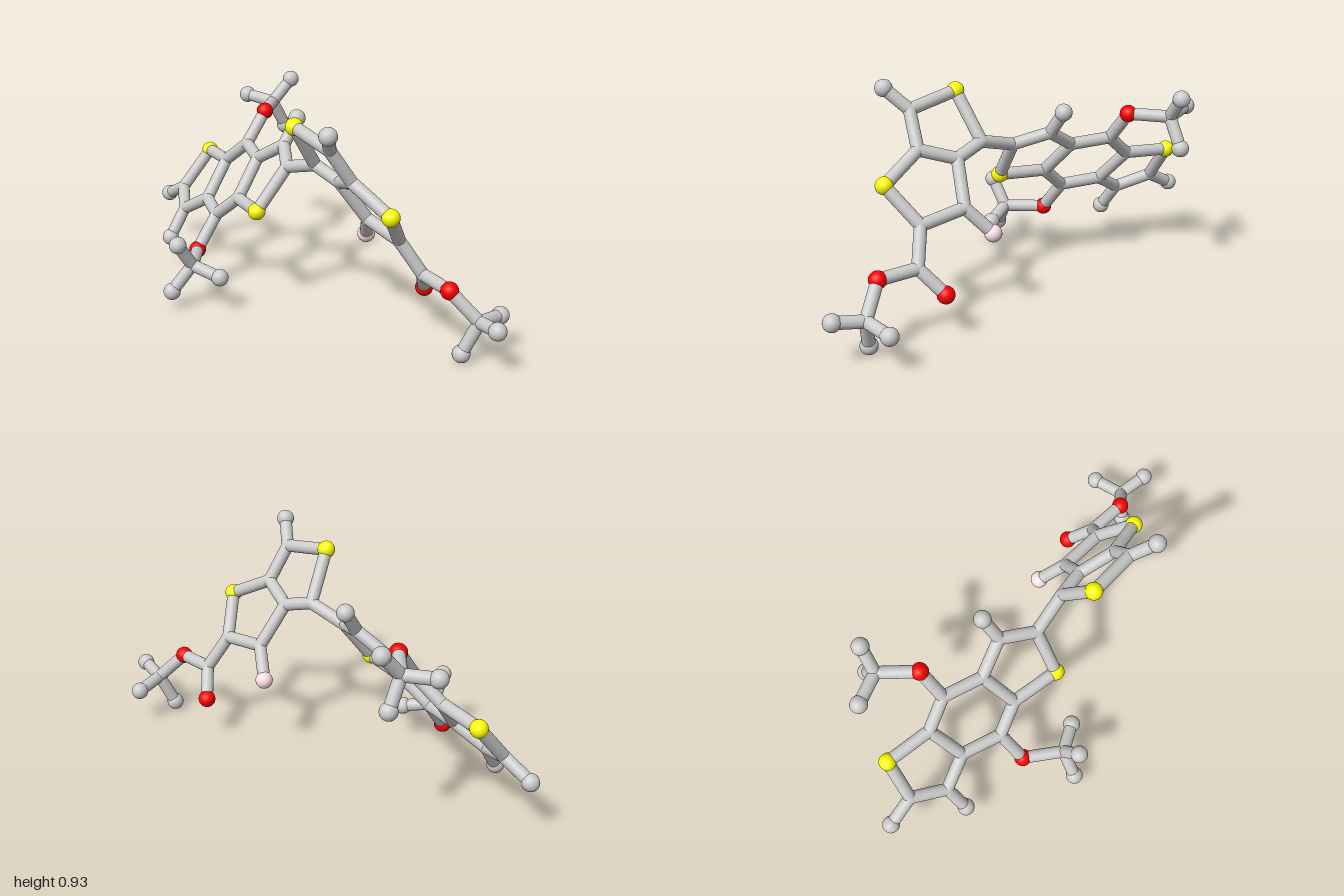
import * as THREE from 'three';

const BOND_R = 0.026;
const BALL_R = 0.036;

// name: [kind, x, y, z]; joint = bond-sized sphere, the others are full balls
const atoms = {
  // left fused ring system
  s1: ['sulfur', -0.80, 0.467, -0.145],
  a1: ['joint', -0.84, 0.305, -0.018],
  a2: ['joint', -0.715, 0.253, 0.07],
  a3: ['joint', -0.575, 0.335, 0.043],
  a4: ['joint', -0.605, 0.48, -0.09],
  a5: ['joint', -0.48, 0.58, -0.11],
  a6: ['joint', -0.32, 0.568, -0.04],
  a7: ['joint', -0.29, 0.424, 0.093],
  a8: ['joint', -0.415, 0.322, 0.115],
  s2: ['sulfur', -0.09, 0.435, 0.154],
  a9: ['joint', -0.05, 0.61, 0.025],
  a10: ['joint', -0.175, 0.655, -0.065],
  e1: ['end', -0.965, 0.239, -0.024],
  e2: ['end', -0.71, 0.137, 0.156],
  e3: ['end', -0.178, 0.757, -0.14],
  // upper side branch
  o1: ['oxygen', -0.48, 0.709, -0.213],
  b1: ['joint', -0.587, 0.705, -0.348],
  e4: ['end', -0.558, 0.803, -0.43],
  e5: ['end', -0.725, 0.718, -0.312],
  e6: ['end', -0.583, 0.584, -0.415],
  // lower side branch
  o2: ['oxygen', -0.41, 0.188, 0.225],
  b2: ['joint', -0.285, 0.188, 0.345],
  e7: ['end', -0.28, 0.297, 0.419],
  e8: ['end', -0.162, 0.157, 0.296],
  e9: ['end', -0.318, 0.081, 0.429],
  // right fused ring pair
  c1: ['joint', 0.12, 0.66, 0.022],
  s3: ['sulfur', 0.145, 0.848, 0.153],
  c2: ['joint', 0.365, 0.808, 0.168],
  c3: ['joint', 0.395, 0.67, 0.08],
  c4: ['joint', 0.253, 0.62, 0.012],
  s4: ['sulfur', 0.58, 0.573, 0.053],
  c5: ['joint', 0.505, 0.428, -0.072],
  c6: ['joint', 0.305, 0.455, -0.094],
  e10: ['end', 0.435, 0.893, 0.24],
  f1: ['fluorine', 0.222, 0.349, -0.168],
  // right side branch
  d1: ['joint', 0.572, 0.29, -0.138],
  o3: ['oxygen', 0.505, 0.189, -0.222],
  o4: ['oxygen', 0.74, 0.284, -0.111],
  d2: ['joint', 0.842, 0.17, -0.173],
  e11: ['end', 0.964, 0.188, -0.134],
  e12: ['end', 0.80, 0.037, -0.125],
  e13: ['end', 0.832, 0.155, -0.306],
};

// each chain of names is bonded in sequence
const chains = [
  's1 a1 a2 a3 a4 s1', 'a4 a5 a6 a7 a8 a3', 'a7 s2 a9 a10 a6',
  'a1 e1', 'a2 e2', 'a10 e3',
  'a5 o1 b1 e4', 'e5 b1 e6', 'a8 o2 b2 e7', 'e8 b2 e9',
  'a9 c1 s3 c2 c3 c4 c1', 'c3 s4 c5 c6 c4', 'c2 e10', 'c6 f1',
  'c5 d1 o3', 'd1 o4 d2 e11', 'e12 d2 e13',
];

export function createModel() {
  const model = new THREE.Group();
  const grey = new THREE.MeshStandardMaterial({ color: 0xcccccc });
  const materials = {
    joint: grey,
    end: grey,
    sulfur: new THREE.MeshStandardMaterial({ color: 0xffff00 }),
    oxygen: new THREE.MeshStandardMaterial({ color: 0xff0000 }),
    fluorine: new THREE.MeshStandardMaterial({ color: 0xffe0e6 }),
  };
  const ball = new THREE.SphereGeometry(BALL_R, 24, 16);
  const joint = new THREE.SphereGeometry(BOND_R, 24, 16);
  const rod = new THREE.CylinderGeometry(BOND_R, BOND_R, 1, 24, 1, true);
  const up = new THREE.Vector3(0, 1, 0);
  const position = (name) => new THREE.Vector3(...atoms[name].slice(1));

  // balls and joints
  for (const [name, [kind]] of Object.entries(atoms)) {
    const mesh = new THREE.Mesh(kind === 'joint' ? joint : ball, materials[kind]);
    mesh.name = kind === 'joint' ? 'carbonJoint' : kind === 'end' ? 'endBall' : kind + 'Ball';
    mesh.position.copy(position(name));
    model.add(mesh);
  }

  // bond rods
  for (const chain of chains) {
    const names = chain.split(' ');
    for (let i = 1; i < names.length; i++) {
      const a = position(names[i - 1]);
      const b = position(names[i]);
      const mesh = new THREE.Mesh(rod, grey);
      mesh.name = 'bond';
      mesh.position.copy(a).lerp(b, 0.5);
      mesh.scale.y = a.distanceTo(b);
      mesh.quaternion.setFromUnitVectors(up, b.sub(a).normalize());
      model.add(mesh);
    }
  }
  return model;
}
